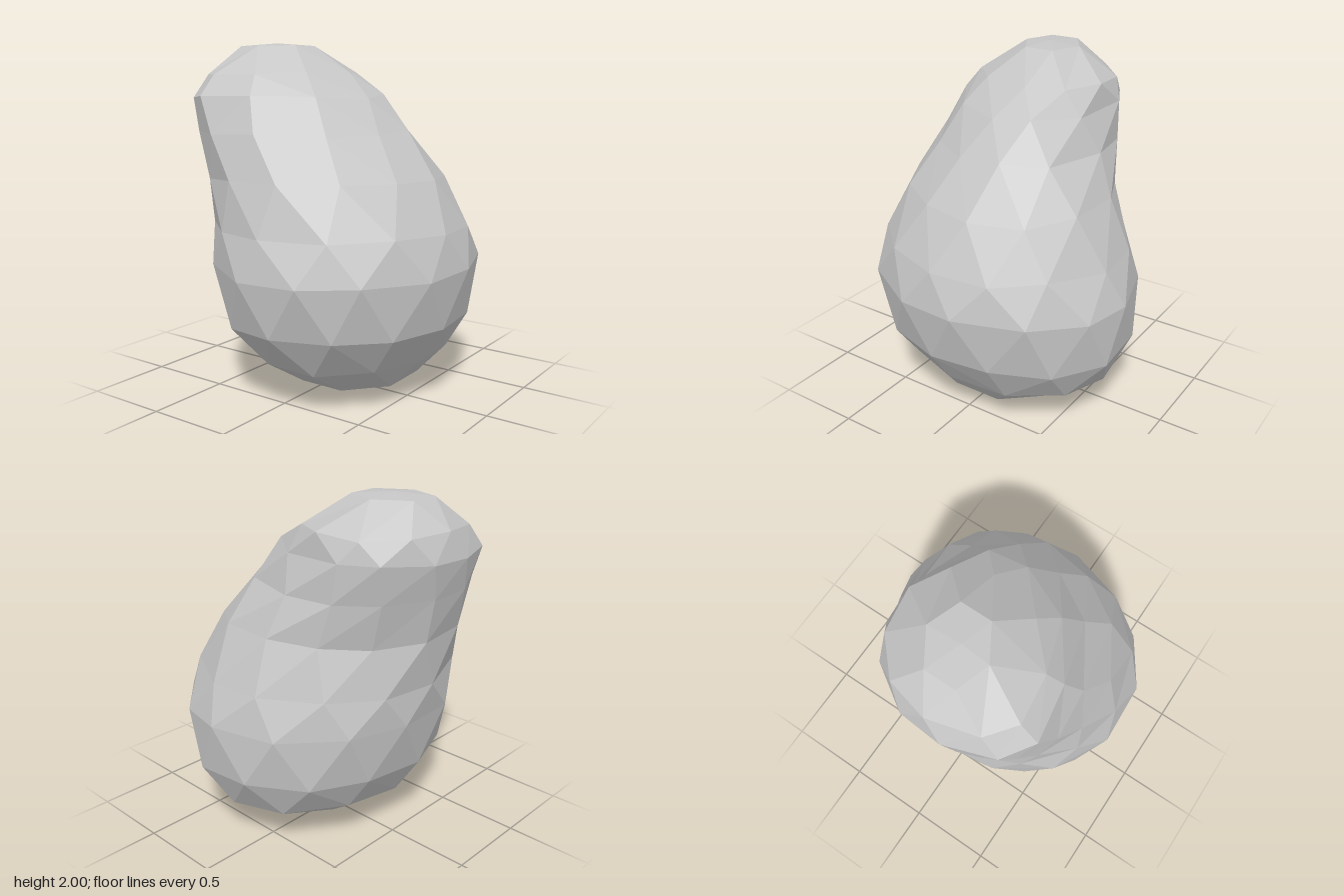
import * as THREE from 'three';

// Cross-sections from bottom to top:
// [y, xMin, xMax, zBack, zFront, centreX, centreZ, skew of front towards +x, points]
const SECTIONS = [
  [0.0, 0.06, 0.06, -0.04, -0.04, 0.06, -0.04, 0, 1],
  [0.085, -0.36, 0.41, -0.2, 0.48, 0.03, 0.14, 0, 8],
  [0.24, -0.6, 0.67, -0.44, 0.61, 0.02, 0.12, 0.02, 11],
  [0.45, -0.75, 0.78, -0.565, 0.745, 0, 0.11, 0.03, 13],
  [0.76, -0.8, 0.79, -0.635, 0.8, 0, 0.12, 0.04, 13],
  [0.98, -0.745, 0.71, -0.655, 0.74, 0, 0.06, 0.03, 13],
  [1.25, -0.67, 0.56, -0.7, 0.58, -0.02, -0.07, 0.04, 13],
  [1.5, -0.605, 0.45, -0.755, 0.38, -0.03, -0.28, 0.06, 12],
  [1.7, -0.55, 0.405, -0.79, 0.215, -0.03, -0.42, 0.08, 11],
  [1.83, -0.46, 0.38, -0.75, 0.03, 0, -0.4, 0.06, 10],
  [1.985, -0.2, 0.15, -0.62, -0.2, -0.03, -0.41, 0.03, 6],
  [2.0, -0.04, -0.04, -0.4, -0.4, -0.04, -0.4, 0, 1],
];

// Local swellings and hollows: [angle, angular width, y, height, amount]
const BUMPS = [
  [-0.8, 0.5, 1.22, 0.24, -0.1], // hollow under the head
  [-0.85, 0.5, 1.72, 0.12, 0.05], // overhang above the hollow
  [0.75, 0.6, 1.36, 0.26, 0.09], // full shoulder in front of it
];

function bumpAt(angle, y) {
  let sum = 0;
  for (const [a, width, h, height, amount] of BUMPS) {
    const turn = Math.atan2(Math.sin(angle - a), Math.cos(angle - a));
    sum += amount * Math.exp(-((turn / width) ** 2) - (((y - h) / height) ** 2));
  }
  return sum;
}

// Small seeded generator for the irregular facets
function seeded(seed) {
  return () => {
    seed = (seed * 16807) % 2147483647;
    return seed / 2147483647 - 0.5;
  };
}

function buildBoulder() {
  const rand = seeded(4711);
  const positions = [];
  const rings = [];

  SECTIONS.forEach(([y, x0, x1, z0, z1, cx, cz, skew, count], r) => {
    const ring = { start: positions.length / 3, count, offset: r % 2 ? 0.5 : 0 };
    const loose = r > 1 && r < SECTIONS.length - 2 ? 1 : 0;
    for (let i = 0; i < count; i++) {
      const a = ((i + ring.offset + rand() * 0.15 * loose) / count) * Math.PI * 2;
      const c = Math.cos(a), s = Math.sin(a);
      const k = 1.02 + rand() * 0.01 + bumpAt(a, y);
      positions.push(
        cx + c * k * (c > 0 ? x1 - cx : cx - x0) + s * skew,
        y + rand() * 0.03 * loose,
        cz + s * k * (s > 0 ? z1 - cz : cz - z0)
      );
    }
    rings.push(ring);
  });

  // Stitch neighbouring rings, advancing whichever side lags behind
  const index = [];
  for (let r = 0; r + 1 < rings.length; r++) {
    const low = rings[r], up = rings[r + 1];
    const n = low.count > 1 ? low.count : 0;
    const m = up.count > 1 ? up.count : 0;
    const L = (i) => low.start + (i % low.count);
    const U = (j) => up.start + (j % up.count);
    let i = 0, j = 0;
    while (i < n || j < m) {
      const lowFirst = j >= m ||
        (i < n && (i + 1 + low.offset) / n < (j + 1 + up.offset) / m);
      if (lowFirst) {
        index.push(L(i), U(j), L(i + 1));
        i++;
      } else {
        index.push(L(i), U(j), U(j + 1));
        j++;
      }
    }
  }

  const geometry = new THREE.BufferGeometry();
  geometry.setAttribute('position', new THREE.Float32BufferAttribute(positions, 3));
  geometry.setIndex(index);
  const faceted = geometry.toNonIndexed();
  faceted.computeVertexNormals();
  return faceted;
}

export function createModel() {
  const stone = new THREE.MeshStandardMaterial({ color: 0xc6c6c6, flatShading: true });
  stone.name = 'stone grey';

  const boulder = new THREE.Mesh(buildBoulder(), stone);
  boulder.name = 'boulder';

  const group = new THREE.Group();
  group.name = 'rock';
  group.add(boulder);
  return group;
}
